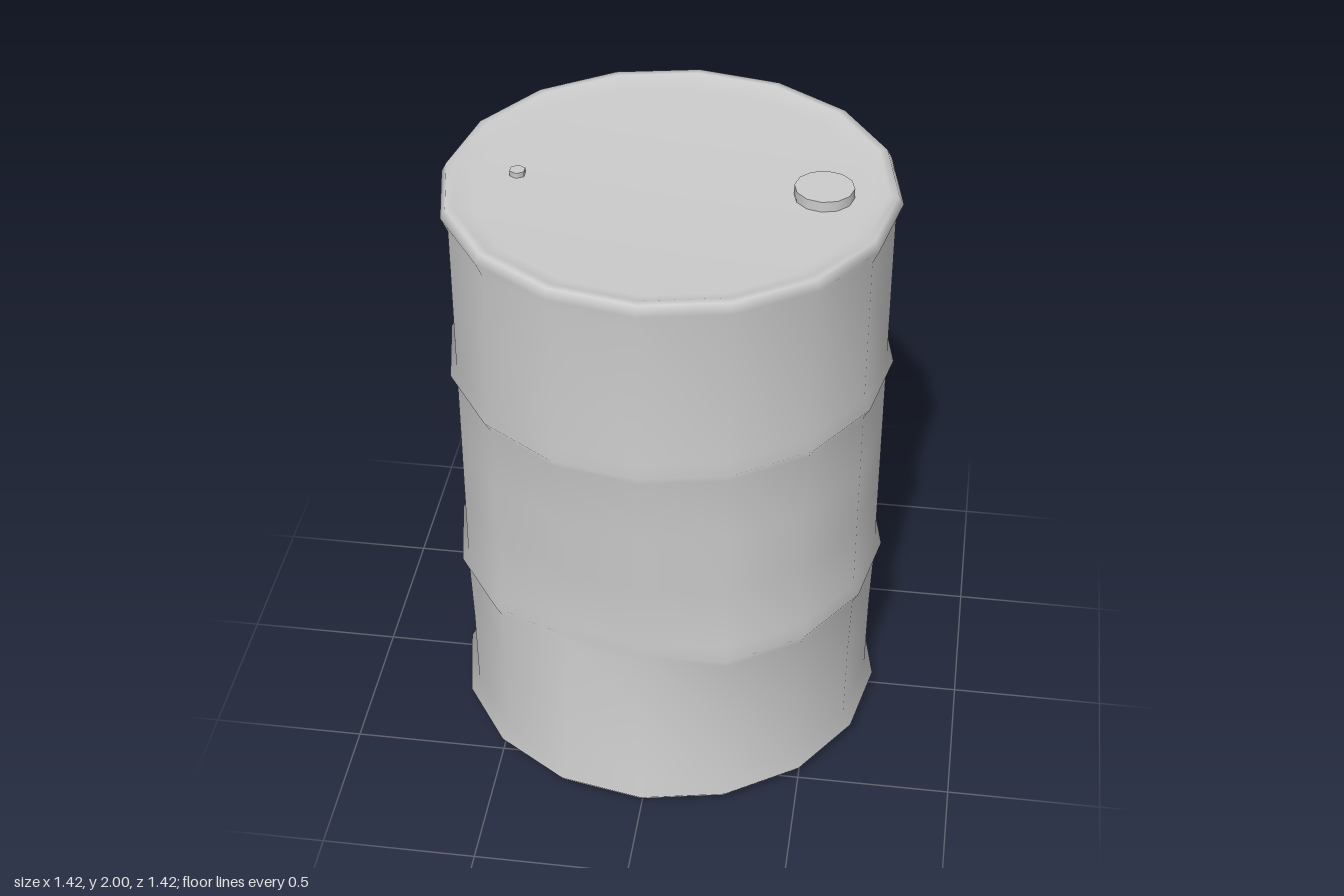
import * as THREE from 'three';
import { mergeVertices } from 'three/addons/utils/BufferGeometryUtils.js';

const SIDES = 16;

// Smooth bump: 1 at the centre, 0 from the given width outwards
const bump = (d, width) => {
  const t = Math.max(0, 1 - Math.abs(d) / width);
  return t * t * (3 - 2 * t);
};

// Angle in degrees around y, 0 at the front, positive towards +x
const around = (x, z, centre) => {
  const d = THREE.MathUtils.radToDeg(Math.atan2(x, z)) - centre;
  return ((d + 540) % 360) - 180;
};

// How far the wall is pushed in at a point
function dentDepth(x, y, z) {
  const up = y > 0.63 ? Math.max(0, 1 - (y - 0.63) / 0.71) : bump(y - 0.63, 0.4);
  const front = 0.068 * bump(around(x, z, -13), 38) * up;
  const back = 0.02 * bump(around(x, z, 190), 30) * bump(y - 0.78, 0.35);
  return front + back;
}

export function createModel() {
  const model = new THREE.Group();
  model.name = 'barrel';
  const material = new THREE.MeshStandardMaterial({ color: 0xcccccc });

  // Drum: base, bottom rim, two hoops, top rim and sunken lid in one profile
  const profile = [
    [0, 0.004], [0.3, 0.01], [0.66, 0.022],
    [0.69, 0.025], [0.71, 0.05], [0.68, 0.1],
    [0.683, 0.38], [0.69, 0.595], [0.711, 0.635], [0.69, 0.67],
    [0.69, 0.9], [0.69, 1.12], [0.69, 1.345], [0.711, 1.38], [0.69, 1.415],
    [0.69, 1.91], [0.711, 1.958], [0.695, 1.988],
    [0.67, 1.988], [0.61, 1.966], [0, 1.966],
  ].map(([r, y]) => new THREE.Vector2(r, y));
  let drum = new THREE.LatheGeometry(profile, SIDES);

  // Push the dents into the wall
  const pos = drum.attributes.position;
  for (let i = 0; i < pos.count; i++) {
    const x = pos.getX(i), y = pos.getY(i), z = pos.getZ(i);
    const r = Math.hypot(x, z);
    if (r < 0.67 || y < 0.15 || y > 1.5) continue;
    const k = 1 - dentDepth(x, y, z) / r;
    pos.setXYZ(i, x * k, y, z * k);
  }

  // Weld the seam so the shading runs smoothly all round
  drum.deleteAttribute('uv');
  drum.deleteAttribute('normal');
  drum = mergeVertices(drum, 1e-4);
  drum.computeVertexNormals();
  const body = new THREE.Mesh(drum, material);
  body.name = 'drum';
  model.add(body);

  // Filler cap and small vent plug on the lid
  const addPlug = (name, radius, sides, x, top) => {
    const height = top - 1.955;
    const plug = new THREE.Mesh(new THREE.CylinderGeometry(radius, radius, height, sides), material);
    plug.name = name;
    plug.position.set(x, top - height / 2, 0);
    model.add(plug);
  };
  addPlug('fillerCap', 0.092, 12, 0.47, 2);
  addPlug('ventPlug', 0.026, 6, -0.473, 1.983);

  return model;
}
